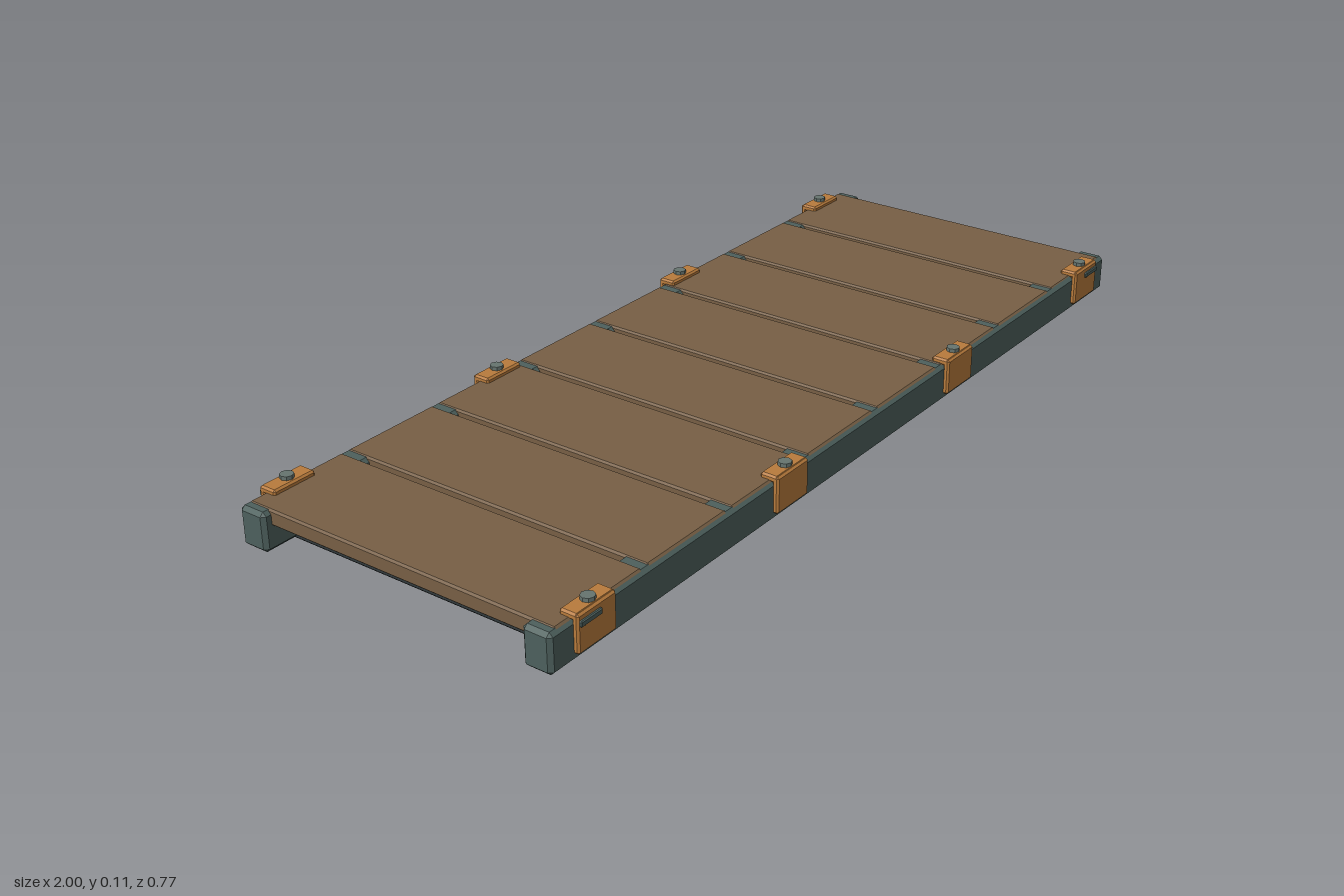
import * as THREE from 'three';
import { ConvexGeometry } from 'three/addons/geometries/ConvexGeometry.js';

const mat = (name, color) => {
  const m = new THREE.MeshStandardMaterial({ color });
  m.name = name;
  return m;
};

// Box given by its limits, with every edge cut by a flat chamfer c
function chamferBox(name, material, [x0, x1], [y0, y1], [z0, z1], c) {
  const h = [(x1 - x0) / 2, (y1 - y0) / 2, (z1 - z0) / 2];
  const points = [];
  for (const sx of [-1, 1]) for (const sy of [-1, 1]) for (const sz of [-1, 1]) {
    for (let full = 0; full < 3; full++) {
      const p = h.map((v, i) => (i === full ? v : v - c));
      points.push(new THREE.Vector3(sx * p[0], sy * p[1], sz * p[2]));
    }
  }
  const mesh = new THREE.Mesh(new ConvexGeometry(points), material);
  mesh.position.set((x0 + x1) / 2, (y0 + y1) / 2, (z0 + z1) / 2);
  mesh.name = name;
  return mesh;
}

export function createModel() {
  const wood = mat('brown wood', 0x775f45);
  const frame = mat('grey green metal', 0x4d605d);
  const dark = mat('dark metal', 0x31393b);
  const copper = mat('copper', 0xb87b3c);
  const steel = mat('bolt steel', 0x66746f);

  const model = new THREE.Group();
  model.name = 'plankDeck';
  const stations = [-0.89, -0.312, 0.312, 0.89];

  // Deck planks with open gaps
  for (let i = 0; i < 8; i++) {
    const x = (i - 3.5) * 0.247;
    model.add(chamferBox('plank', wood, [x - 0.116, x + 0.116], [0.055, 0.089], [-0.362, 0.362], 0.004));
  }

  // Cross beams below the planks
  for (const x of stations) {
    model.add(chamferBox('crossBeam', dark, [x - 0.036, x + 0.036], [0, 0.056], [-0.355, 0.355], 0.006));
  }

  // Both long sides: rail, clamps and fasteners
  for (const s of [1, -1]) {
    const zr = (a, b) => (s > 0 ? [a, b] : [-b, -a]);
    model.add(chamferBox('sideRail', frame, [-1, 1], [0.004, 0.087], zr(0.305, 0.368), 0.008));

    for (const x of stations) {
      const clamp = new THREE.Group();
      clamp.name = 'clamp';
      const w = [x - 0.051, x + 0.051];
      clamp.add(chamferBox('clampSide', copper, w, [0.02, 0.098], zr(0.364, 0.378), 0.004));
      clamp.add(chamferBox('clampTop', copper, w, [0.084, 0.099], zr(0.337, 0.376), 0.004));

      const bolt = new THREE.Mesh(new THREE.CylinderGeometry(0.014, 0.014, 0.012, 8).toNonIndexed(), steel);
      bolt.geometry.computeVertexNormals();
      bolt.position.set(x, 0.101, s * 0.358);
      bolt.name = 'topBolt';
      clamp.add(bolt);

      // Latch bar on the end clamps only
      if (Math.abs(x) > 0.5) {
        const bx = Math.sign(x) * 0.909;
        clamp.add(chamferBox('latchBar', frame, [bx - 0.028, bx + 0.028], [0.074, 0.086], zr(0.372, 0.383), 0.002));
      }
      model.add(clamp);
    }
  }
  return model;
}
